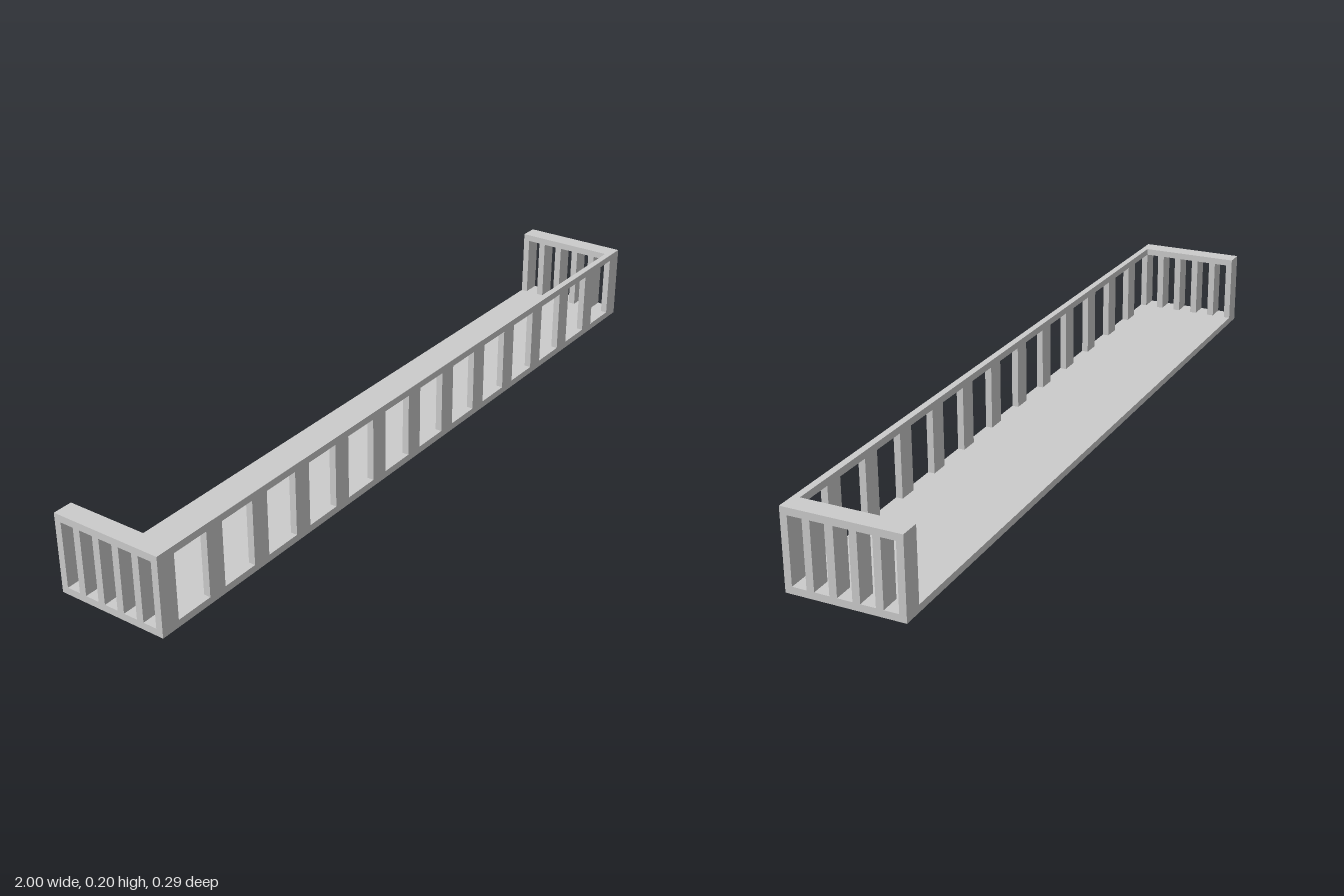
import * as THREE from 'three';

const W = 2, D = 0.292, H = 0.202;   // overall size
const SLAB = 0.018, RAIL = 0.018;    // floor and handrail heights
const SIDE_T = 0.05, FRONT_T = 0.0175; // railing thicknesses

export function createModel() {
  const model = new THREE.Group();
  model.name = 'balcony';
  const material = new THREE.MeshStandardMaterial({ color: 0xcccccc, flatShading: true });

  const box = (parent, name, w, h, d, x, y, z) => {
    const mesh = new THREE.Mesh(new THREE.BoxGeometry(w, h, d), material);
    mesh.name = name;
    mesh.position.set(x, y, z);
    parent.add(mesh);
  };

  const postH = H - SLAB - RAIL;
  const postY = SLAB + postH / 2;
  const railY = H - RAIL / 2;

  // Floor slab, also the bottom rail of every railing
  box(model, 'floorSlab', W, SLAB, D, 0, SLAB / 2, 0);

  // Front railing: 12 balusters between the corner posts
  const front = new THREE.Group();
  front.name = 'frontRailing';
  const frontZ = D / 2 - FRONT_T / 2;
  box(front, 'frontHandrail', W - 2 * SIDE_T, RAIL, FRONT_T, 0, railY, frontZ);
  for (let i = 0; i < 12; i++) {
    box(front, 'frontBaluster', 0.05, postH, FRONT_T, (i - 5.5) * 0.15, postY, frontZ);
  }
  model.add(front);

  // Side railings: end posts and 4 balusters each, open at the back
  for (const s of [-1, 1]) {
    const side = new THREE.Group();
    side.name = s > 0 ? 'leftRailing' : 'rightRailing';
    const x = s * (W - SIDE_T) / 2;
    box(side, 'sideHandrail', SIDE_T, RAIL, D, x, railY, 0);
    for (const e of [-1, 1]) {
      box(side, e > 0 ? 'cornerPost' : 'backPost', SIDE_T, postH, FRONT_T, x, postY, e * frontZ);
    }
    for (let i = 0; i < 4; i++) {
      box(side, 'sideBaluster', SIDE_T, postH, 0.0185, x, postY, (i - 1.5) * 0.0555);
    }
    model.add(side);
  }
  return model;
}
